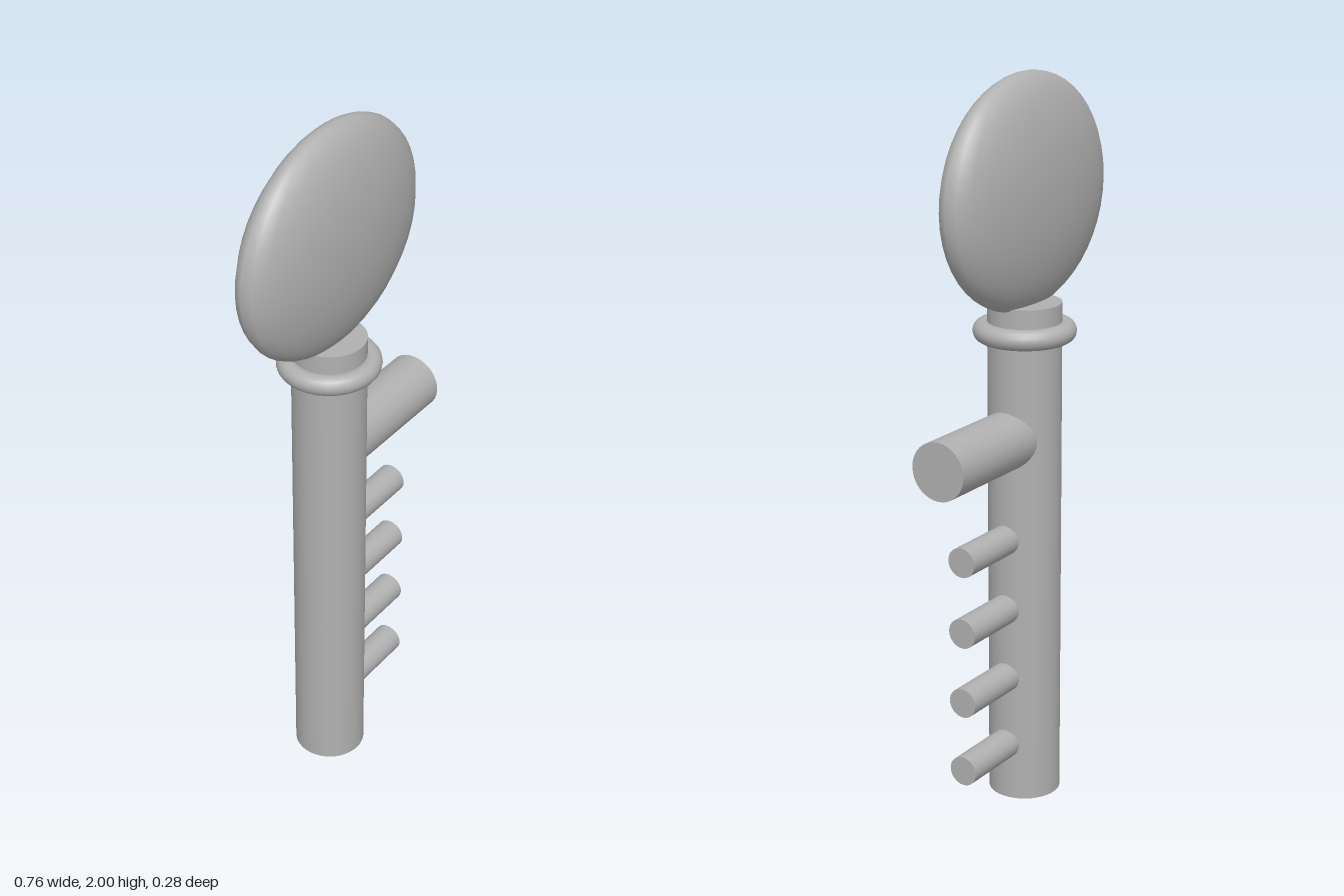
import * as THREE from 'three';

export function createModel() {
  const key = new THREE.Group();
  key.name = 'key';
  const grey = new THREE.MeshStandardMaterial({ color: 0xb0b0b0 });
  grey.name = 'grey metal';
  const axisX = -0.022; // centre line of the shaft

  const add = (name, geometry, x, y) => {
    const mesh = new THREE.Mesh(geometry, grey);
    mesh.name = name;
    mesh.position.set(x, y, 0);
    key.add(mesh);
    return mesh;
  };

  // Upright round shaft
  add('shaft', new THREE.CylinderGeometry(0.099, 0.099, 1.4, 48), axisX, 0.7);

  // Flattened oval handle
  add('bow', new THREE.SphereGeometry(1, 24, 24).scale(0.357, 0.311, 0.099), axisX, 1.689);

  // Ring around the neck
  add('collar', new THREE.TorusGeometry(0.11, 0.028, 16, 32).rotateX(Math.PI / 2), axisX, 1.323);

  // Round pegs reaching out from the shaft's centre line
  const addPeg = (name, radius, endX, y) => {
    const length = endX - axisX;
    const geometry = new THREE.CylinderGeometry(radius, radius, length, 32).rotateZ(-Math.PI / 2);
    add(name, geometry, axisX + length / 2, y);
  };
  addPeg('largePeg', 0.079, 0.377, 1.04);
  for (let i = 0; i < 4; i++) addPeg(`tooth${i + 1}`, 0.041, 0.278, 0.162 + i * 0.2);

  return key;
}
